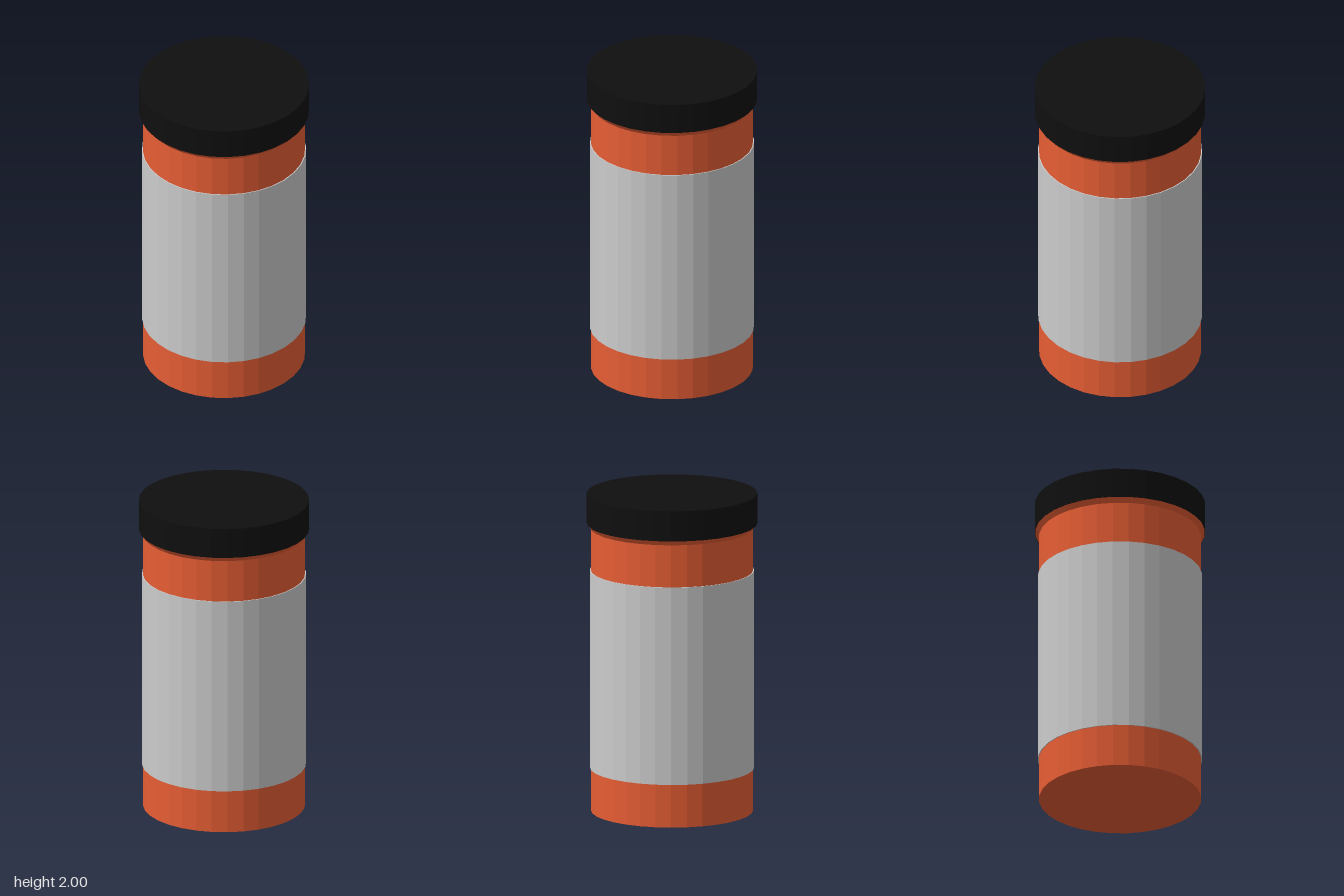
import * as THREE from 'three';

const SIDES = 32;

// Faceted solid of revolution from [radius, height] pairs, listed bottom to top
function turned(name, profile, color) {
  const points = profile.map(([r, y]) => new THREE.Vector2(r, y));
  const material = new THREE.MeshStandardMaterial({ color, flatShading: true });
  const mesh = new THREE.Mesh(new THREE.LatheGeometry(points, SIDES), material);
  mesh.name = name;
  return mesh;
}

export function createModel() {
  const bottle = new THREE.Group();
  bottle.name = 'pillBottle';

  // Body with a short flare that meets the cap
  bottle.add(turned('body', [[0, 0], [0.5, 0], [0.5, 1.78], [0.523, 1.81]], 0xe65d34));

  // Label wrapped around the body, with thin rims
  bottle.add(turned('label', [[0.498, 0.27], [0.506, 0.27], [0.506, 1.515], [0.498, 1.515]], 0xcccccc));

  // Flat cap
  bottle.add(turned('cap', [[0, 1.81], [0.525, 1.81], [0.525, 2], [0, 2]], 0x0f0f0f));

  return bottle;
}
